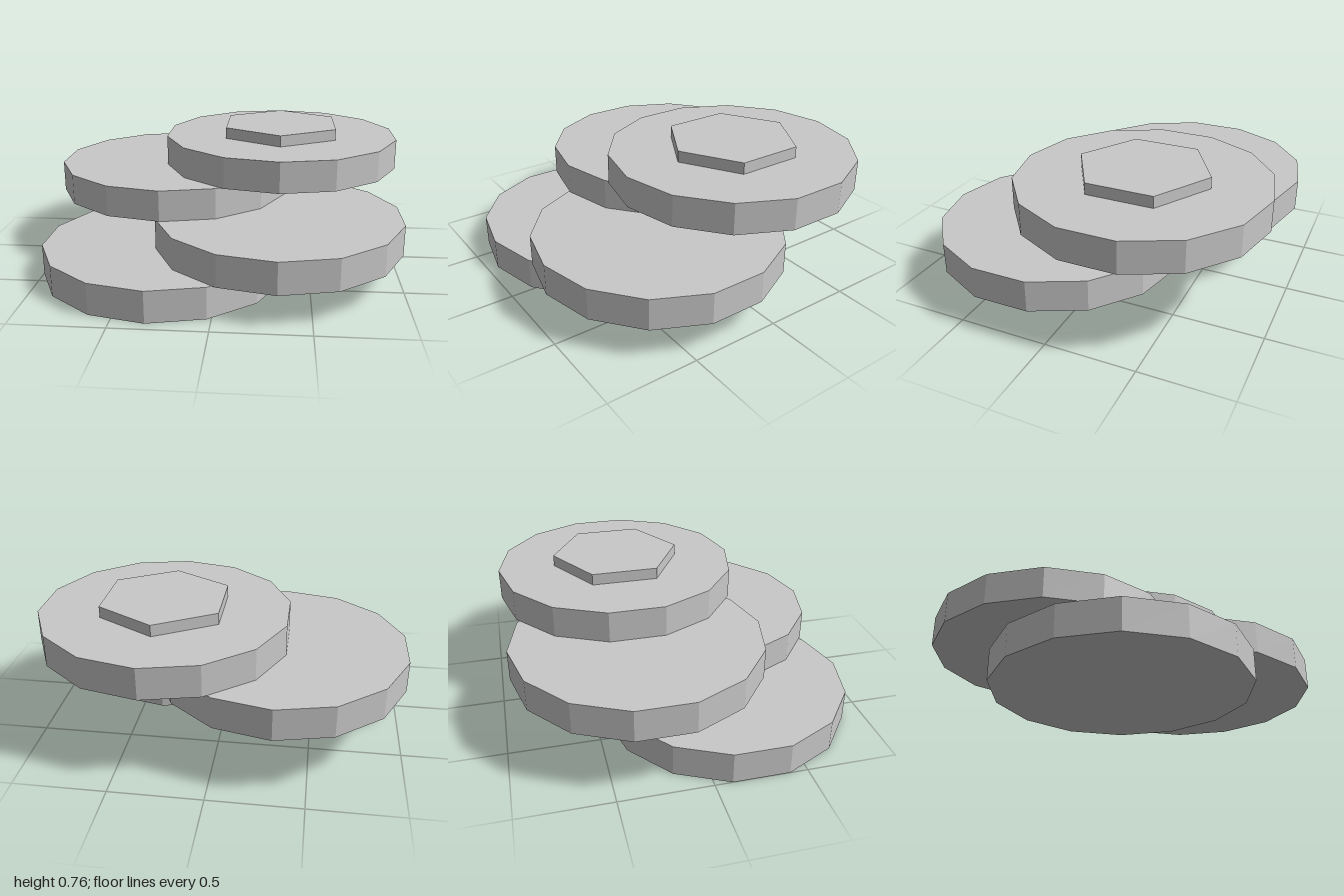
import * as THREE from 'three';

export function createModel() {
  const group = new THREE.Group();
  group.name = 'discStack';
  const grey = new THREE.MeshStandardMaterial({ color: 0xc8c8c8, flatShading: true });
  grey.name = 'light grey';

  // Flat prism standing on y = base, with a corner towards +z
  function addDisc(name, radius, height, sides, x, base, z) {
    const mesh = new THREE.Mesh(new THREE.CylinderGeometry(radius, radius, height, sides), grey);
    mesh.name = name;
    mesh.position.set(x, base + height / 2, z);
    group.add(mesh);
  }

  // Four staggered discs, lowest first
  const thickness = 0.174;
  const discs = [
    ['frontRightDisc', -0.323, 0.249],
    ['frontLeftDisc', 0.323, 0.249],
    ['backRightDisc', -0.323, -0.249],
    ['backLeftDisc', 0.323, -0.249],
  ];
  discs.forEach(([name, x, z], i) => addDisc(name, 0.694, thickness, 14, x, i * thickness, z));

  // Hexagonal plate on the top disc
  addDisc('hexagonPlate', 0.37, 0.064, 6, 0.323, 4 * thickness, -0.249);

  return group;
}
